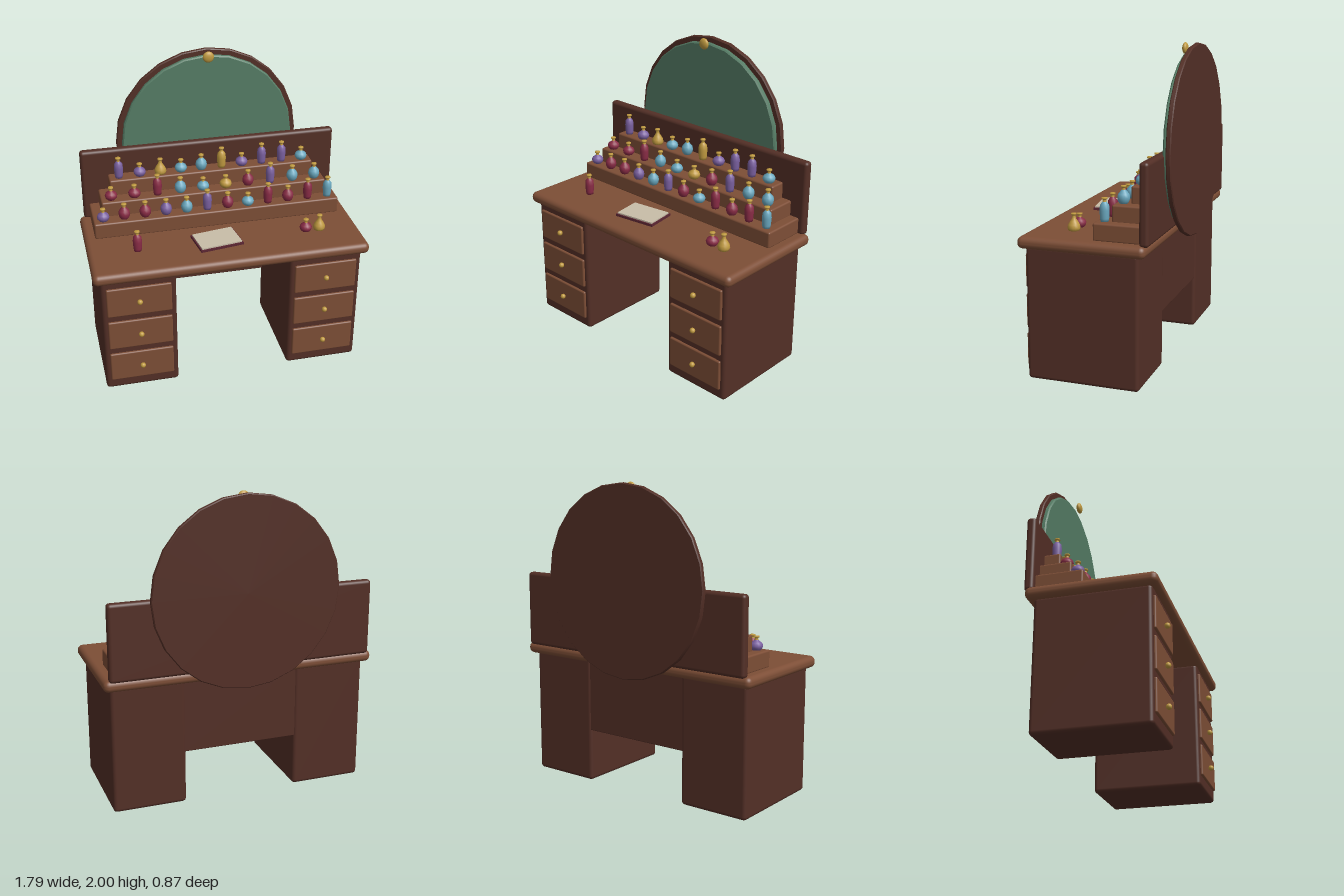
import * as THREE from 'three';
import { RoundedBoxGeometry } from 'three/addons/geometries/RoundedBoxGeometry.js';

const paint = (name, color) => {
  const m = new THREE.MeshStandardMaterial({ color });
  m.name = name;
  return m;
};

export function createModel() {
  const root = new THREE.Group();
  root.name = 'vanityDesk';

  const wood = paint('wood', 0x7d4e36);
  const darkWood = paint('darkWood', 0x532f26);
  const glass = paint('mirrorGlass', 0x557c65);
  const gold = paint('gold', 0xc09a40);
  const red = paint('redGlass', 0x8a2c46);
  const purple = paint('purpleGlass', 0x7a60a0);
  const blue = paint('blueGlass', 0x6aa8bf);
  const paper = paint('paper', 0xc8bda8);
  const cover = paint('bookCover', 0x5c2632);

  const add = (name, geo, mat, x = 0, y = 0, z = 0, parent = root) => {
    const mesh = new THREE.Mesh(geo, mat);
    mesh.name = name;
    mesh.position.set(x, y, z);
    parent.add(mesh);
    return mesh;
  };
  // Rounded box given by its min and max on each axis
  const slab = (name, mat, [x0, x1], [y0, y1], [z0, z1], r) =>
    add(name, new RoundedBoxGeometry(x1 - x0, y1 - y0, z1 - z0, 3, r), mat,
      (x0 + x1) / 2, (y0 + y1) / 2, (z0 + z1) / 2);

  // Desk
  slab('deskTop', wood, [-0.897, 0.897], [0.825, 0.9], [-0.37, 0.43], 0.034);
  slab('modestyPanel', darkWood, [-0.385, 0.385], [0.35, 0.84], [-0.315, -0.275], 0.006);

  // Pedestals with three drawers each
  const knobGeo = new THREE.SphereGeometry(0.018, 12, 8);
  for (const side of [-1, 1]) {
    const cx = side * 0.6125;
    slab('pedestal', darkWood, [cx - 0.24, cx + 0.24], [0, 0.84], [-0.322, 0.39], 0.024);
    for (let i = 0; i < 3; i++) {
      const y = 0.178 + i * 0.249;
      slab('drawer', wood, [cx - 0.208, cx + 0.208], [y - 0.104, y + 0.104], [0.375, 0.405], 0.01);
      add('drawerKnob', knobGeo, gold, cx, y, 0.42);
    }
  }

  // Backboard and stepped shelves
  slab('backboard', darkWood, [-0.866, 0.866], [0.89, 1.385], [-0.384, -0.325], 0.022);
  const steps = [[0.827, 1.005, -0.03], [0.762, 1.105, -0.126], [0.692, 1.21, -0.222]];
  steps.forEach(([w, top, front], i) =>
    slab('shelfStep', wood, [-w, w], [i ? steps[i - 1][1] - 0.01 : 0.895, top], [-0.335, front], 0.012));

  // Round mirror: bevelled discs turned to face the front
  const disc = (name, mat, r, z0, z1, bevel) => {
    const d = z1 - z0;
    const pts = [[0, 0], [r - bevel, 0], [r - bevel, 0], [r, bevel], [r, bevel],
      [r, d - bevel], [r, d - bevel], [r - bevel, d], [r - bevel, d], [0, d]]
      .map(([x, y]) => new THREE.Vector2(x, y));
    const geo = new THREE.LatheGeometry(pts, 24);
    geo.rotateX(Math.PI / 2);
    add(name, geo, mat, 0, 1.387, z0);
  };
  disc('mirrorFrame', darkWood, 0.613, -0.435, -0.403, 0.006);
  disc('mirrorGlass', glass, 0.577, -0.41, -0.374, 0.008);
  add('mirrorOrnament', new THREE.SphereGeometry(0.037, 16, 12), gold, 0, 1.965, -0.342).scale.z = 0.5;

  // Bottle profiles: [radius, height] up to the neck
  const profiles = {
    squat: [[0, 0], [0.026, 0], [0.038, 0.015], [0.041, 0.03], [0.034, 0.046], [0.016, 0.058], [0.01, 0.066]],
    round: [[0, 0], [0.024, 0], [0.035, 0.018], [0.038, 0.038], [0.034, 0.058], [0.018, 0.076], [0.01, 0.086]],
    tall: [[0, 0], [0.024, 0], [0.027, 0.02], [0.03, 0.07], [0.027, 0.1], [0.016, 0.114], [0.01, 0.122]],
    drop: [[0, 0], [0.034, 0], [0.04, 0.018], [0.036, 0.038], [0.024, 0.058], [0.014, 0.074], [0.011, 0.086]],
  };
  const lathe = (pts) => new THREE.LatheGeometry(pts.map(([r, y]) => new THREE.Vector2(r, y)), 14);
  const bodies = {};
  for (const key in profiles) bodies[key] = lathe(profiles[key]);
  const stopperGeo = lathe([[0.012, -0.004], [0.01, 0.006], [0.01, 0.01], [0.018, 0.014], [0.017, 0.022], [0, 0.024]]);

  const bottle = (type, mat, x, y, z) => {
    const g = new THREE.Group();
    g.name = 'bottle';
    g.position.set(x, y, z);
    add('bottleBody', bodies[type], mat, 0, 0, 0, g);
    add('bottleStopper', stopperGeo, gold, 0, profiles[type].at(-1)[1], 0, g);
    root.add(g);
  };

  // Each code is a colour letter then a shape letter
  const colours = { r: red, p: purple, b: blue, g: gold };
  const shapes = { s: 'squat', o: 'round', t: 'tall', d: 'drop' };
  const rows = [
    ['ps ro ro po bo pt ro bs rt ro rt bt', 0.762, 1.003, -0.083],
    ['rs rs rt bo bs gs ro pt bo bo', 0.693, 1.103, -0.177],
    ['pt ps gd bs bo gt ps pt pt bs', 0.624, 1.208, -0.27],
  ];
  for (const [codes, half, y, z] of rows) {
    const list = codes.split(' ');
    list.forEach((c, i) =>
      bottle(shapes[c[1]], colours[c[0]], -half + (2 * half * i) / (list.length - 1), y, z));
  }

  // Loose bottles on the desk
  bottle('tall', red, -0.578, 0.898, 0.165);
  bottle('squat', red, 0.54, 0.898, 0.165);
  bottle('drop', gold, 0.632, 0.898, 0.165);

  // Notebook lying at an angle
  const book = new THREE.Group();
  book.name = 'notebook';
  book.position.set(-0.06, 0.9, 0.166);
  book.rotation.y = 0.15;
  root.add(book);
  add('notebookCover', new THREE.BoxGeometry(0.29, 0.016, 0.206), cover, 0, 0.008, 0, book);
  add('notebookPages', new THREE.BoxGeometry(0.274, 0.01, 0.19), paper, 0, 0.02, 0, book);

  return root;
}
